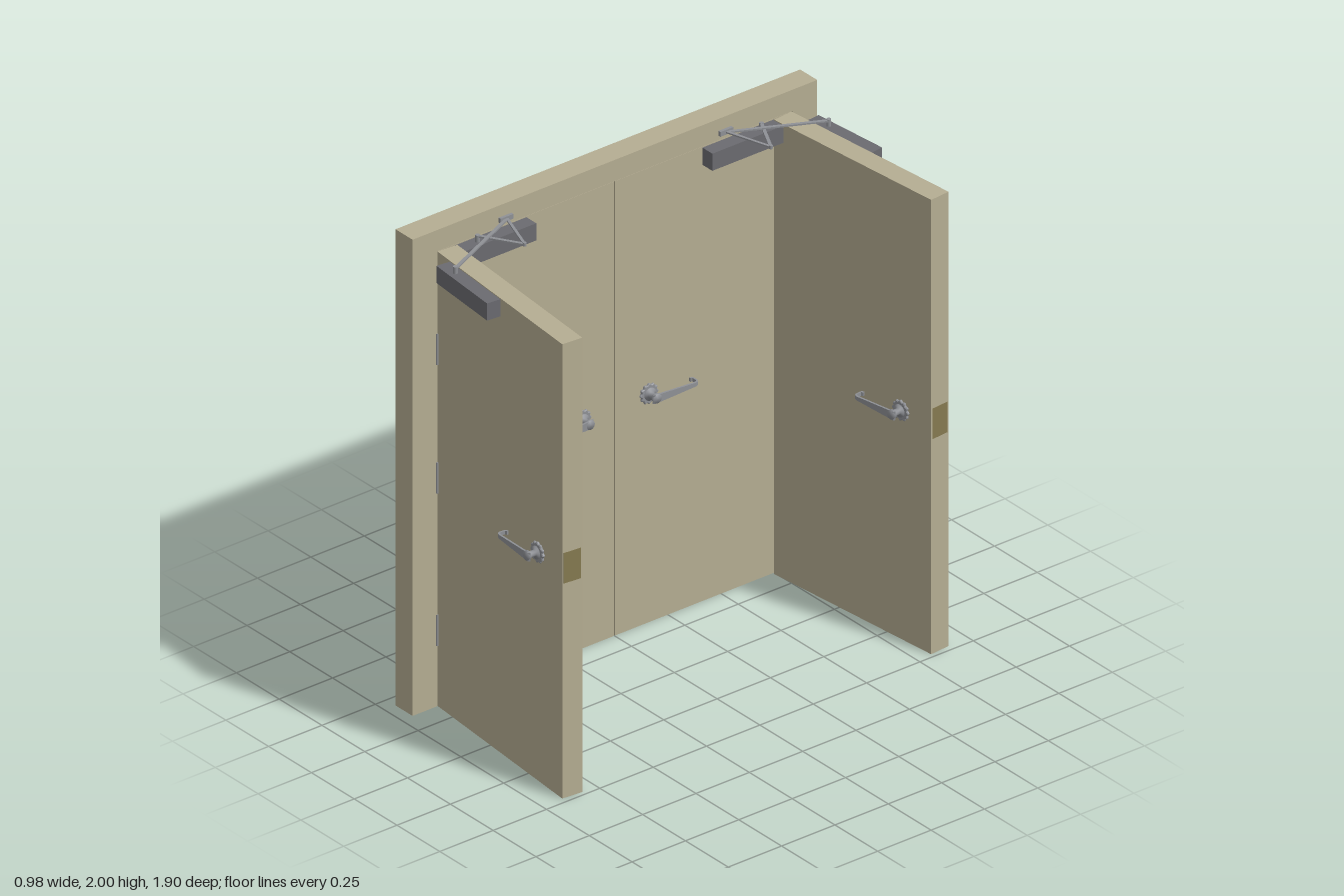
import * as THREE from 'three';

const mat = (color) => new THREE.MeshStandardMaterial({ color });
const paint = mat(0xb5ad92), dark = mat(0x6b6b70), steel = mat(0x8f9196), brass = mat(0x857a50);

const DOOR_W = 0.827, DOOR_H = 1.908, DOOR_T = 0.088; // door leaf
const HINGE_X = -0.35, HINGE_Z = 0.83;                // hinge corner
const OPEN = THREE.MathUtils.degToRad(-5.2);
const HANDLE_U = 0.673, HANDLE_Y = 0.965;

function add(parent, name, geometry, material, x = 0, y = 0, z = 0) {
  const mesh = new THREE.Mesh(geometry, material);
  mesh.name = name;
  mesh.position.set(x, y, z);
  parent.add(mesh);
  return mesh;
}
const box = (w, h, d) => new THREE.BoxGeometry(w, h, d);

// flat bar between two points
function bar(parent, name, a, b, width, height) {
  const mesh = add(parent, name, box(width, height, a.distanceTo(b)), steel);
  mesh.position.copy(a).add(b).multiplyScalar(0.5);
  mesh.lookAt(b);
}

// scalloped rose, its axis along z
function roseGeometry() {
  const points = [];
  for (let i = 0; i < 72; i++) {
    const a = (i / 72) * Math.PI * 2;
    const r = 0.04 + 0.003 * Math.cos(a * 12);
    points.push(new THREE.Vector2(r * Math.cos(a), r * Math.sin(a)));
  }
  return new THREE.ExtrudeGeometry(new THREE.Shape(points), {
    depth: 0.006, bevelEnabled: true, bevelThickness: 0.003, bevelSize: 0.003, bevelOffset: -0.003, bevelSegments: 1,
  }).translate(0, 0, -0.003);
}

// lever: hooked outline seen from above, tapering in height towards the tip
function leverGeometry(s, f) {
  const outline = [
    [0.018, 0.05], [0.012, 0.058], [-0.18, 0.058], [-0.192, 0.053], [-0.199, 0.042], [-0.199, 0.019],
    [-0.194, 0.013], [-0.184, 0.012], [-0.184, 0.018], [-0.192, 0.022], [-0.192, 0.04], [-0.187, 0.047],
    [-0.178, 0.05],
  ].map(([u, w]) => new THREE.Vector2(u * s, w * f));
  const geo = new THREE.ExtrudeGeometry(new THREE.Shape(outline), { depth: 1, bevelEnabled: false });
  geo.translate(0, 0, -0.5).rotateX(Math.PI / 2);
  const p = geo.attributes.position;
  for (let i = 0; i < p.count; i++) {
    const t = THREE.MathUtils.clamp((0.018 - p.getX(i) * s) / 0.217, 0, 1);
    p.setY(i, p.getY(i) * THREE.MathUtils.lerp(0.036, 0.014, t) - 0.004 * t);
  }
  geo.computeVertexNormals();
  return geo;
}

function makeHandle(s, f) {
  const handle = new THREE.Group();
  handle.name = 'leverHandle';
  add(handle, 'rose', roseGeometry(), steel, 0, 0, f * 0.006);
  const neck = new THREE.LatheGeometry(
    [[0, 0], [0.026, 0], [0.026, 0.016], [0.013, 0.02], [0.013, 0.04], [0.019, 0.046], [0.019, 0.058], [0, 0.06]]
      .map(([r, y]) => new THREE.Vector2(r, y)), 20);
  add(handle, 'neck', neck, steel).rotation.x = (f * Math.PI) / 2;
  add(handle, 'lever', leverGeometry(s, f), steel);
  return handle;
}

// door leaf: hinge corner at the origin, width along s * x, closer on +z
function makeDoor(s, name) {
  const door = new THREE.Group();
  door.name = name;
  add(door, 'leaf', box(DOOR_W, DOOR_H, DOOR_T), paint, (s * DOOR_W) / 2, DOOR_H / 2, -DOOR_T / 2);
  add(door, 'latchPlate', box(0.004, 0.128, 0.076), brass, s * (DOOR_W - 0.001), HANDLE_Y, -DOOR_T / 2);
  for (const f of [1, -1]) {
    const handle = makeHandle(s, f);
    handle.position.set(s * HANDLE_U, HANDLE_Y, f > 0 ? 0 : -DOOR_T);
    door.add(handle);
  }
  // closer body and the spindle through it
  add(door, 'closerBody', box(0.335, 0.072, 0.058), dark, s * 0.25, 1.868, 0.029);
  add(door, 'closerSpindle', new THREE.CylinderGeometry(0.009, 0.009, 0.11, 12), steel, s * 0.165, 1.878, 0.03);
  // hinge knuckles
  for (const y of [0.32, 0.96, 1.5]) {
    add(door, 'hinge', new THREE.CylinderGeometry(0.006, 0.006, 0.13, 10), steel, -s * 0.002, y, 0.002);
  }
  return door;
}

function placeDoor(parent, s, angle, name) {
  const door = makeDoor(s, name);
  door.position.set(HINGE_X, 0, s * HINGE_Z);
  door.rotation.y = s > 0 ? angle : Math.PI - angle;
  parent.add(door);
}

export function createModel() {
  const model = new THREE.Group();
  model.name = 'doubleDoor';

  // frame with jambs and header
  const frame = new THREE.Group();
  frame.name = 'frame';
  model.add(frame);
  const frameShape = new THREE.Shape([[-0.948, 0], [-0.832, 0], [-0.832, 1.911], [0.832, 1.911], [0.832, 0],
    [0.948, 0], [0.948, 2], [-0.948, 2]].map(([z, y]) => new THREE.Vector2(z, y)));
  const frameGeo = new THREE.ExtrudeGeometry(frameShape, { depth: 0.1, bevelEnabled: false });
  add(frame, 'jambsAndHeader', frameGeo.rotateY(Math.PI / 2), paint, -0.447, 0, 0);

  for (const s of [1, -1]) {
    const v = (x, y, z) => new THREE.Vector3(x, y, s * z);
    placeDoor(model, s, Math.PI / 2, 'closedDoor');
    placeDoor(model, s, OPEN, 'openDoor');

    // bracket on the header and the closer arms, folded and straight
    const shoe = v(-0.335, 1.94, 0.515);
    add(model, 'armBracket', box(0.012, 0.02, 0.06), steel, -0.341, 1.94, s * 0.515);
    const elbow = v(-0.155, 1.935, 0.577);
    bar(model, 'closedMainArm', v(-0.32, 1.928, 0.665), elbow, 0.013, 0.006);
    bar(model, 'closedForearm', elbow, shoe, 0.011, 0.006);
    add(model, 'elbowPin', new THREE.CylinderGeometry(0.007, 0.007, 0.014, 10), steel, elbow.x, elbow.y, elbow.z);
    bar(model, 'openArm', v(-0.186, 1.926, 0.876), shoe, 0.013, 0.006);
  }
  return model;
}
